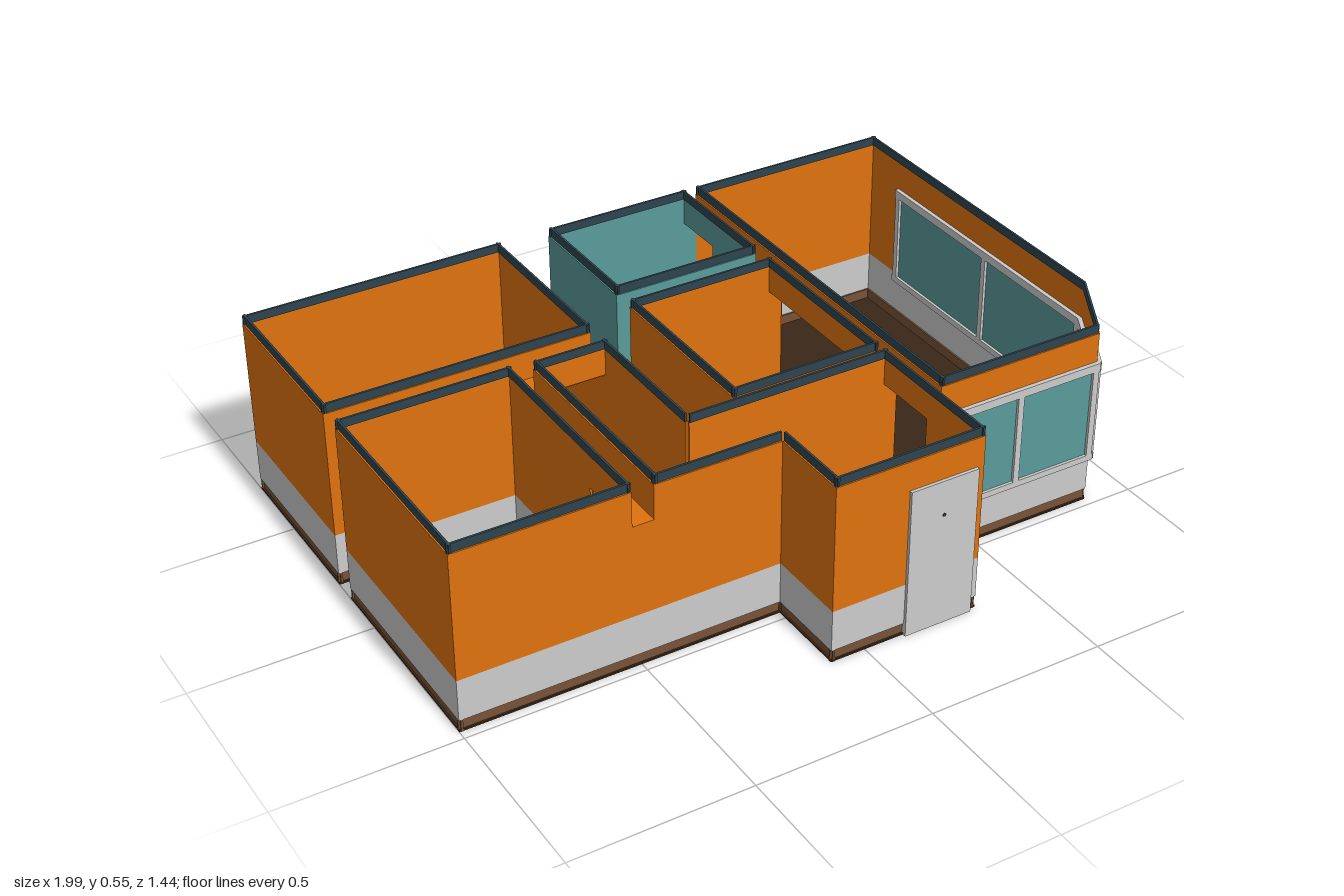
import * as THREE from 'three';

const mat = (color) => new THREE.MeshStandardMaterial({ color });
const orange = mat(0xe0720f), grey = mat(0xcccccc), teal = mat(0x5a9a9a), navy = mat(0x2e4450);
const brown = mat(0x785236), floorBrown = mat(0x3a2818), tile = mat(0x8cb6b6), black = mat(0x333333);

const T = 0.006; // wall thickness
const BASE = 0.035, BAND = 0.155, WALL = 0.52, TOP = 0.545;

const rect = (x0, x1, z0, z1) => [[x0, z0], [x1, z0], [x1, z1], [x0, z1]];

// Outlines in (x, z), walked so that the inside is always on the same hand
const rooms = [
  { name: 'backRightRoom', pts: rect(-1, -0.25, -0.72, -0.21) },
  { name: 'frontRightRoom', pts: rect(-1, -0.52, -0.14, 0.475) },
  { name: 'middleRoom', pts: rect(-0.1, 0.335, -0.27, 0.25) },
  { name: 'bathroom', pts: rect(-0.1, 0.335, -0.72, -0.34), wet: true },
  { name: 'hall', pts: [[-0.46, -0.13], [-0.25, -0.13], [-0.25, 0.28], [0.335, 0.28],
    [0.335, 0.71], [-0.1, 0.71], [-0.1, 0.475], [-0.46, 0.475]] },
  { name: 'livingRoom', pts: [[0.37, -0.72], [0.98, -0.72], [0.98, 0.28], [0.87, 0.475], [0.37, 0.475]] },
];

// Passages between rooms; axis is the walking direction (0 = x, 1 = z)
const passages = [
  { axis: 1, x: [-0.46, -0.25], z: [-0.21, -0.13], h: 0.44 },
  { axis: 0, x: [-0.52, -0.46], z: [0.28, 0.475], h: 0.42 },
  { axis: 0, x: [0.335, 0.37], z: [-0.72, -0.56], h: 0.44, wet: true },
  { axis: 0, x: [0.335, 0.37], z: [-0.27, 0.22], h: 0.44 },
  { axis: 0, x: [0.335, 0.37], z: [0.28, 0.475], h: 0.44 },
];

// Upright slab along the edge p-q, from distance a to b and height y0 to y1
function slab(group, name, material, p, q, a, b, y0, y1, inset = 0, thick = T) {
  if (b - a < 1e-4 || y1 - y0 < 1e-4) return;
  const len = Math.hypot(q[0] - p[0], q[1] - p[1]);
  const dx = (q[0] - p[0]) / len, dz = (q[1] - p[1]) / len;
  const mid = (a + b) / 2, off = inset + thick / 2;
  const mesh = new THREE.Mesh(new THREE.BoxGeometry(b - a, y1 - y0, thick), material);
  mesh.position.set(p[0] + dx * mid - dz * off, (y0 + y1) / 2, p[1] + dz * mid + dx * off);
  mesh.rotation.y = -Math.atan2(dz, dx);
  mesh.name = name;
  group.add(mesh);
}

// Stacked colour bands of one stretch of wall, between heights lo and hi
function wall(group, wet, p, q, a, b, lo, hi) {
  const bands = wet
    ? [['tealWall', teal, 0, WALL, 0]]
    : [['baseboard', brown, 0, BASE, 0.005], ['lowerWall', grey, BASE, BAND, 0], ['upperWall', orange, BAND, WALL, 0]];
  bands.push(['topTrim', navy, WALL, TOP, 0.004]);
  for (const [name, m, y0, y1, inset] of bands)
    slab(group, name, m, p, q, a, b, Math.max(y0, lo), Math.min(y1, hi), inset);
}

function floor(group, pts, material) {
  const shape = new THREE.Shape(pts.map(([x, z]) => new THREE.Vector2(x, z)));
  const mesh = new THREE.Mesh(new THREE.ExtrudeGeometry(shape, { depth: 0.005, bevelEnabled: false }), material);
  mesh.rotation.x = Math.PI / 2;
  mesh.position.y = 0.006;
  mesh.name = 'floor';
  group.add(mesh);
}

// Doorways on the edge p-q as sorted [from, to, height]
function doorways(p, q) {
  const found = [];
  for (const { axis, x, z, h } of passages) {
    const across = axis === 0 ? x : z, along = axis === 0 ? z : x, other = 1 - axis;
    if (Math.abs(p[axis] - q[axis]) > 1e-4) continue;
    if (!across.some((c) => Math.abs(c - p[axis]) < 1e-4)) continue;
    const lo = Math.min(p[other], q[other]), hi = Math.max(p[other], q[other]);
    if (along[0] < lo - 1e-4 || along[1] > hi + 1e-4) continue;
    const d = along.map((v) => Math.abs(v - p[other])).sort((m, n) => m - n);
    found.push([d[0], d[1], h]);
  }
  return found.sort((m, n) => m[0] - n[0]);
}

function makeRoom({ name, pts, wet }) {
  const g = new THREE.Group();
  g.name = name;
  floor(g, pts, wet ? tile : floorBrown);
  pts.forEach((p, i) => {
    const q = pts[(i + 1) % pts.length];
    const len = Math.hypot(q[0] - p[0], q[1] - p[1]);
    let at = 0;
    for (const [a, b, h] of doorways(p, q)) {
      wall(g, wet, p, q, at, a, 0, TOP);
      wall(g, wet, p, q, a, b, h, TOP);
      at = b;
    }
    wall(g, wet, p, q, at, len, 0, TOP);
  });
  return g;
}

function makePassage({ axis, x, z, h, wet }) {
  const g = new THREE.Group();
  g.name = 'passage';
  const pts = rect(x[0], x[1], z[0], z[1]);
  floor(g, pts, floorBrown);
  // the two closed sides
  for (const i of axis === 0 ? [0, 2] : [1, 3]) {
    const p = pts[i], q = pts[(i + 1) % 4];
    wall(g, wet, p, q, 0, Math.hypot(q[0] - p[0], q[1] - p[1]), 0, h);
  }
  const lid = new THREE.Mesh(new THREE.BoxGeometry(x[1] - x[0], T, z[1] - z[0]), orange);
  lid.position.set((x[0] + x[1]) / 2, h - T / 2, (z[0] + z[1]) / 2);
  lid.name = 'passageCeiling';
  g.add(lid);
  return g;
}

// Window band wrapping the living room corner
function makeWindows() {
  const g = new THREE.Group();
  g.name = 'cornerWindow';
  const path = [[0.98, -0.575], [0.98, 0.28], [0.87, 0.475], [0.37, 0.475]];
  const panes = [2, 1, 2];
  const y0 = 0.135, y1 = 0.435, w = 0.018;
  panes.forEach((n, i) => {
    const p = path[i], q = path[i + 1];
    const len = Math.hypot(q[0] - p[0], q[1] - p[1]);
    const bar = (a, b, lo, hi) => slab(g, 'windowFrame', grey, p, q, a, b, lo, hi, -0.012, 0.03);
    slab(g, 'windowGlass', teal, p, q, 0, len, y0 + 0.01, y1 - 0.01, -0.004, 0.014);
    bar(-0.004, len + 0.004, y0, y0 + w);
    bar(-0.004, len + 0.004, y1 - 0.024, y1);
    for (let k = 0; k <= n; k++) {
      const c = w / 2 + (len - w) * (k / n);
      bar(c - w / 2, c + w / 2, y0 + w, y1 - 0.024);
    }
  });
  return g;
}

function makeDoor() {
  const g = new THREE.Group();
  g.name = 'frontDoor';
  const leaf = new THREE.Mesh(new THREE.BoxGeometry(0.2, 0.435, 0.024), grey);
  leaf.position.set(0.215, 0.2175, 0.707);
  leaf.name = 'doorLeaf';
  const peephole = new THREE.Mesh(new THREE.CylinderGeometry(0.005, 0.005, 0.028, 12), black);
  peephole.rotation.x = Math.PI / 2;
  peephole.position.set(0.215, 0.335, 0.707);
  peephole.name = 'peephole';
  g.add(leaf, peephole);
  return g;
}

export function createModel() {
  const model = new THREE.Group();
  model.name = 'house';
  rooms.forEach((r) => model.add(makeRoom(r)));
  passages.forEach((p) => model.add(makePassage(p)));
  model.add(makeWindows(), makeDoor());
  return model;
}
